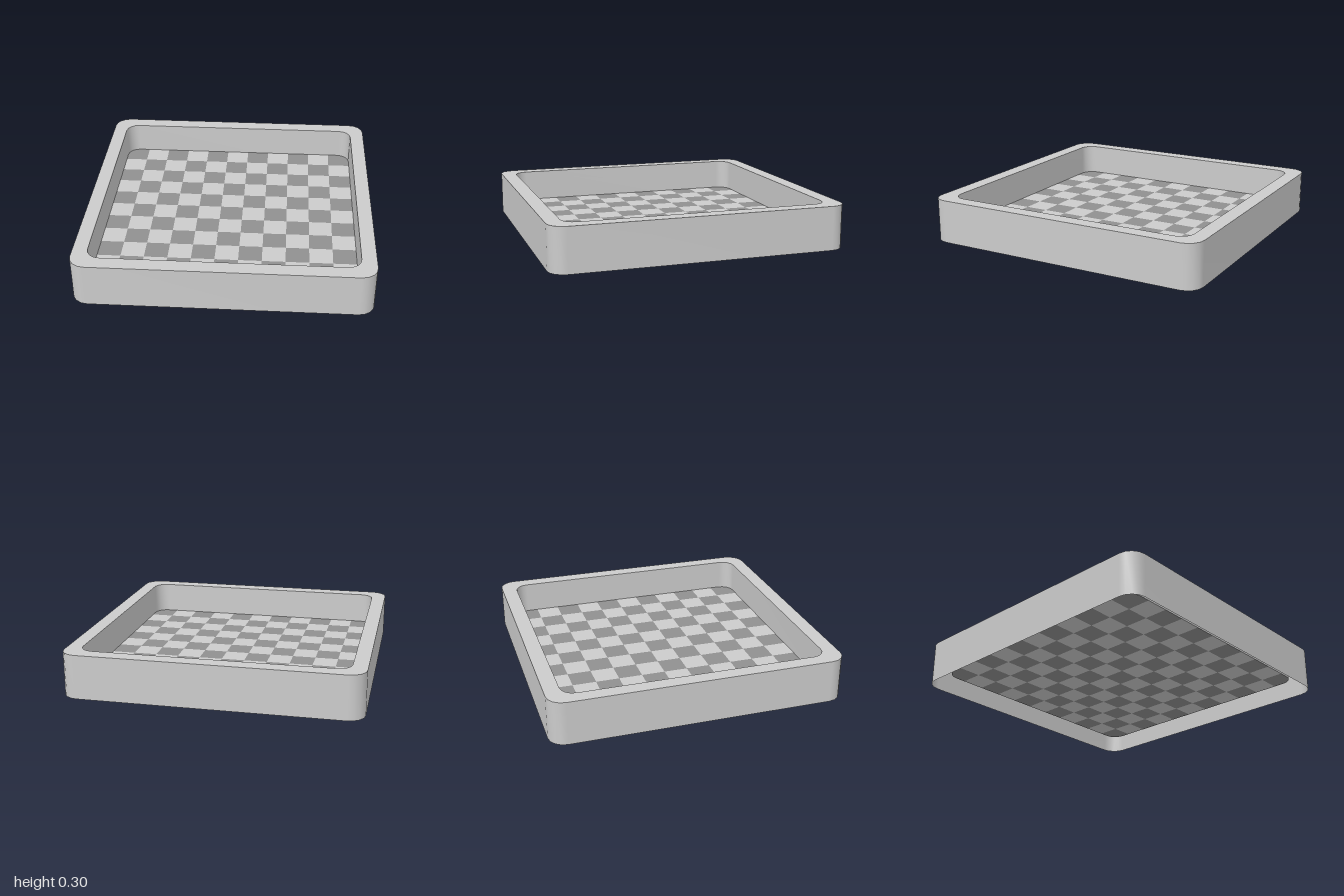
import * as THREE from 'three';
import { mergeGeometries } from 'three/addons/utils/BufferGeometryUtils.js';

const HEIGHT = 0.3, FLOOR = 0.08, CELLS = 11, STEPS = 4;
const OUTER = { w: 0.99, d: 1, r: 0.11 };
const INNER = { w: 0.89, d: 0.895, r: 0.09 };

const material = (color) => new THREE.MeshStandardMaterial({ color, side: THREE.DoubleSide });

// Rounded rectangle at height y, counter-clockwise seen from above
function loop({ w, d, r }, y) {
  const points = [];
  [[1, 1], [-1, 1], [-1, -1], [1, -1]].forEach(([sx, sz], q) => {
    for (let i = 0; i <= STEPS; i++) {
      const a = (q + i / STEPS) * Math.PI / 2;
      points.push([sx * (w - r) + r * Math.cos(a), y, -(sz * (d - r) + r * Math.sin(a))]);
    }
  });
  return points;
}

// Closed smooth band joining two loops
function band(a, b) {
  const n = a.length, index = [];
  for (let i = 0; i < n; i++) {
    const j = (i + 1) % n;
    index.push(i, j, n + i, j, n + j, n + i);
  }
  const geometry = new THREE.BufferGeometry();
  geometry.setAttribute('position', new THREE.Float32BufferAttribute([...a, ...b].flat(), 3));
  geometry.setIndex(index);
  geometry.computeVertexNormals();
  return geometry;
}

// One floor square; corner squares have their outer corner rounded
function square(col, row) {
  const cw = 2 * INNER.w / CELLS, cd = 2 * INNER.d / CELLS, last = CELLS - 1;
  const x = -INNER.w + cw * (col + 0.5), z = -INNER.d + cd * (row + 0.5);
  let geometry;
  if (col % last === 0 && row % last === 0) {
    const sx = Math.sign(x), sy = -Math.sign(z), r = INNER.r;
    const points = [[-cw / 2, -cd / 2], [cw / 2, -cd / 2]];
    for (let i = 0; i <= STEPS; i++) {
      const a = i / STEPS * Math.PI / 2;
      points.push([cw / 2 - r + r * Math.cos(a), cd / 2 - r + r * Math.sin(a)]);
    }
    points.push([-cw / 2, cd / 2]);
    geometry = new THREE.ShapeGeometry(new THREE.Shape(
      points.map(([px, py]) => new THREE.Vector2(px * sx, py * sy))));
  } else {
    geometry = new THREE.PlaneGeometry(cw, cd);
  }
  return geometry.rotateX(-Math.PI / 2).translate(x, FLOOR, z);
}

export function createModel() {
  const model = new THREE.Group();
  model.name = 'checkeredTray';
  const add = (name, geometry, mat) => {
    const mesh = new THREE.Mesh(geometry, mat);
    mesh.name = name;
    model.add(mesh);
  };

  // Hollow frame, open underneath
  const grey = material(0xcccccc);
  const outerTop = loop(OUTER, HEIGHT), innerTop = loop(INNER, HEIGHT);
  add('outerWall', band(loop(OUTER, 0), outerTop), grey);
  add('rim', band(outerTop, innerTop), grey);
  add('innerWall', band(innerTop, loop(INNER, FLOOR)), grey);

  // Checkered floor, dark squares in the corners
  const dark = [], light = [];
  for (let row = 0; row < CELLS; row++) {
    for (let col = 0; col < CELLS; col++) {
      ((row + col) % 2 ? light : dark).push(square(col, row));
    }
  }
  add('lightSquares', mergeGeometries(light), grey);
  add('darkSquares', mergeGeometries(dark), material(0x909090));
  return model;
}
